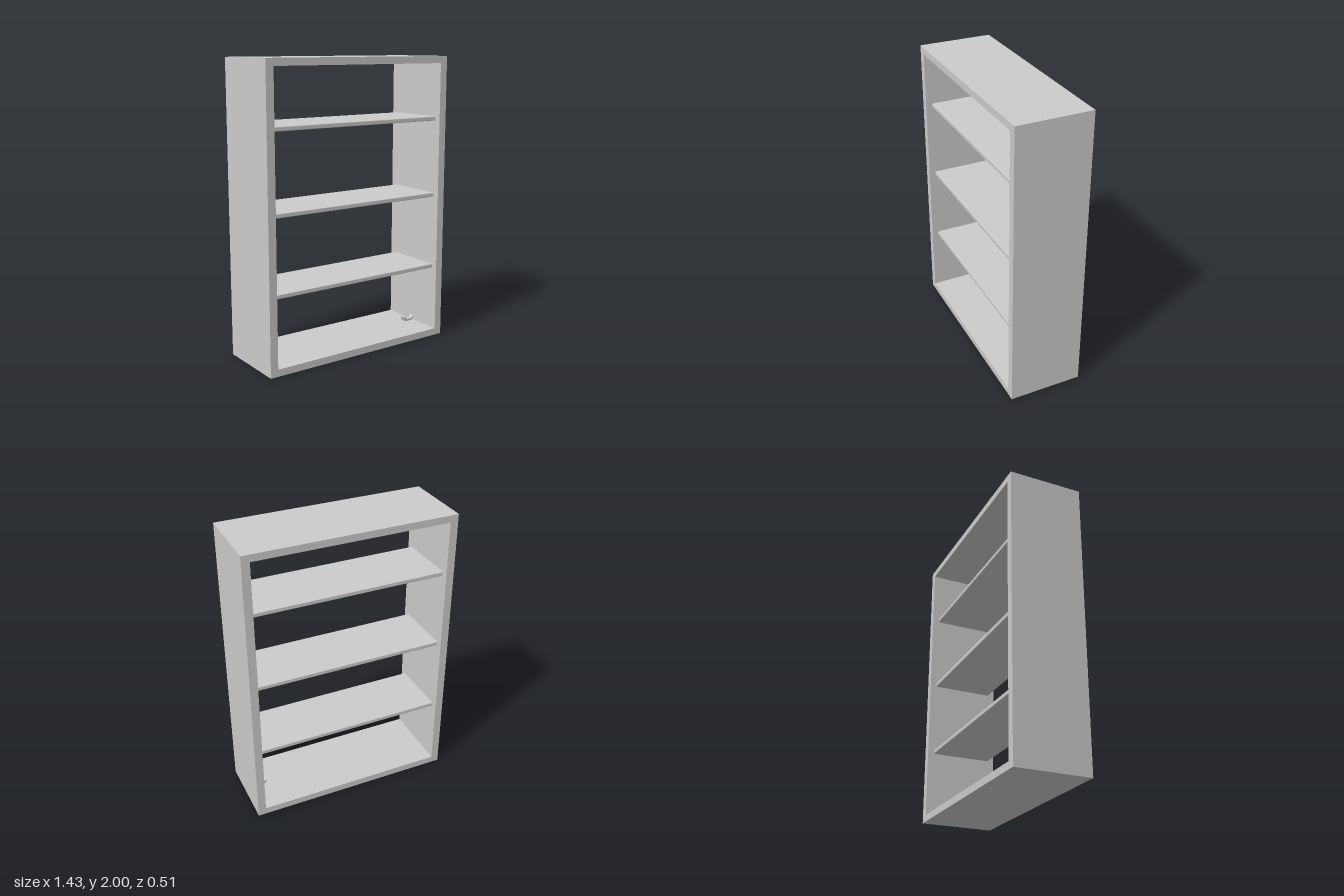
import * as THREE from 'three';
import { RoundedBoxGeometry } from 'three/addons/geometries/RoundedBoxGeometry.js';

const W = 1.435, H = 2, D = 0.51, SIDE = 0.055, CAP = 0.048;
const SHELF_T = 0.03, SHELF_D = 0.42;

export function createModel() {
  const model = new THREE.Group();
  model.name = 'openBookcase';
  const material = new THREE.MeshStandardMaterial({ color: 0xcccccc });

  const add = (name, geometry, x, y, z, mat = material) => {
    const mesh = new THREE.Mesh(geometry, mat);
    mesh.name = name;
    mesh.position.set(x, y, z);
    model.add(mesh);
    return mesh;
  };

  // Outer frame: one rectangular ring, open front and back
  const outline = new THREE.Shape([
    new THREE.Vector2(-W / 2, 0), new THREE.Vector2(W / 2, 0),
    new THREE.Vector2(W / 2, H), new THREE.Vector2(-W / 2, H),
  ]);
  const x = W / 2 - SIDE;
  outline.holes.push(new THREE.Path([
    new THREE.Vector2(-x, CAP), new THREE.Vector2(-x, H - CAP),
    new THREE.Vector2(x, H - CAP), new THREE.Vector2(x, CAP),
  ]));
  add('frame', new THREE.ExtrudeGeometry(outline, { depth: D, bevelEnabled: false }), 0, 0, -D / 2);

  // Three shelves, set back from both openings, ends sunk into the sides
  [0.51, 1.032, 1.572].forEach((y, i) => {
    add(`shelf${i + 1}`, new RoundedBoxGeometry(2 * x + 0.03, SHELF_T, SHELF_D, 2, 0.006), 0, y, 0);
  });

  // Small bent scrap lying on the bottom panel
  const scrap = new THREE.Shape([
    [0.565, 0.085], [0.575, 0.055], [0.605, 0.05], [0.645, 0.05], [0.662, 0.07],
    [0.66, 0.085], [0.64, 0.064], [0.605, 0.064], [0.59, 0.08],
  ].map(([px, py]) => new THREE.Vector2(px, py)));
  add('bentScrap', new THREE.ExtrudeGeometry(scrap, { depth: 0.03, bevelEnabled: false }), 0, -0.002, -0.015);

  return model;
}
